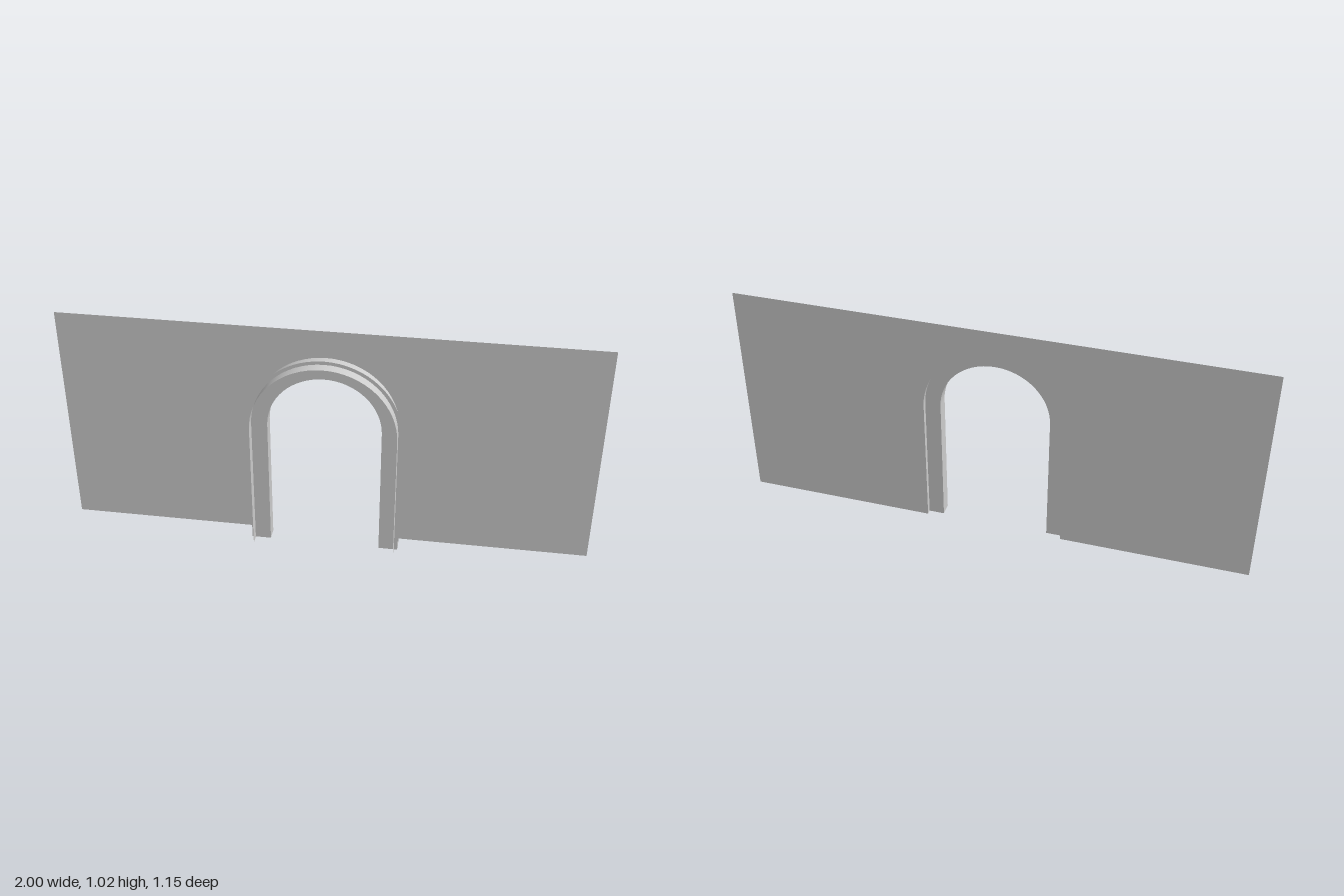
import * as THREE from 'three';

const SPRING = 0.603;   // height where the jambs turn into the arch
const CENTRE = -0.002;  // sideways position of the opening
const SEGMENTS = 32;

// Points of an arch of radius r, from the left foot over the top to the right foot
function archPoints(r) {
  const pts = [new THREE.Vector2(CENTRE - r, 0)];
  for (let i = 0; i <= SEGMENTS; i++) {
    const a = Math.PI * (1 - i / SEGMENTS);
    pts.push(new THREE.Vector2(CENTRE + r * Math.cos(a), SPRING + r * Math.sin(a)));
  }
  pts.push(new THREE.Vector2(CENTRE + r, 0));
  return pts;
}

// Sheet stretched between two arches of given radius and depth
function archSheet(r0, z0, r1, z1) {
  const a = archPoints(r0), b = archPoints(r1);
  const pos = [], idx = [];
  a.forEach((p, i) => {
    pos.push(p.x, p.y, z0, b[i].x, b[i].y, z1);
    if (i > 0) {
      const k = 2 * i;
      idx.push(k - 2, k - 1, k, k - 1, k + 1, k);
    }
  });
  const g = new THREE.BufferGeometry();
  g.setAttribute('position', new THREE.Float32BufferAttribute(pos, 3));
  g.setIndex(idx);
  g.computeVertexNormals();
  return g;
}

export function createModel() {
  const model = new THREE.Group();
  model.name = 'archedWall';
  const plaster = new THREE.MeshStandardMaterial({ color: 0xcccccc, side: THREE.DoubleSide });
  plaster.name = 'plaster grey';

  const add = (geometry, name) => {
    const mesh = new THREE.Mesh(geometry, plaster);
    mesh.name = name;
    model.add(mesh);
    return mesh;
  };

  const hole = 0.312, inner = 0.243, outer = 0.327;
  const depth = 0.126, back = 0.023, front = 0.08;
  const halfWidth = 1.1547, height = 1.025;

  // Thin wall with an arched notch
  const wall = new THREE.Shape([
    new THREE.Vector2(halfWidth, 0),
    new THREE.Vector2(halfWidth, height),
    new THREE.Vector2(-halfWidth, height),
    new THREE.Vector2(-halfWidth, 0),
    ...archPoints(hole),
  ]);
  add(new THREE.ShapeGeometry(wall), 'wall');

  // Lining that runs forward from the wall opening
  add(archSheet(hole, 0, hole, depth), 'openingLining');

  // Door frame, open on its outer side
  add(archSheet(inner, front, outer, front), 'frameFront');
  add(archSheet(outer, back, inner, back), 'frameBack');
  add(archSheet(inner, back, inner, front), 'frameReveal');

  // Feet closing the frame underneath
  for (const side of [-1, 1]) {
    const foot = new THREE.PlaneGeometry(outer - inner, front - back).rotateX(Math.PI / 2);
    add(foot, side > 0 ? 'leftFrameFoot' : 'rightFrameFoot')
      .position.set(CENTRE + side * (inner + outer) / 2, 0, (front + back) / 2);
  }

  // The wall stands diagonally
  model.rotation.y = -Math.PI / 6;
  const root = new THREE.Group();
  root.name = 'wallWithArchway';
  root.add(model);
  return root;
}
